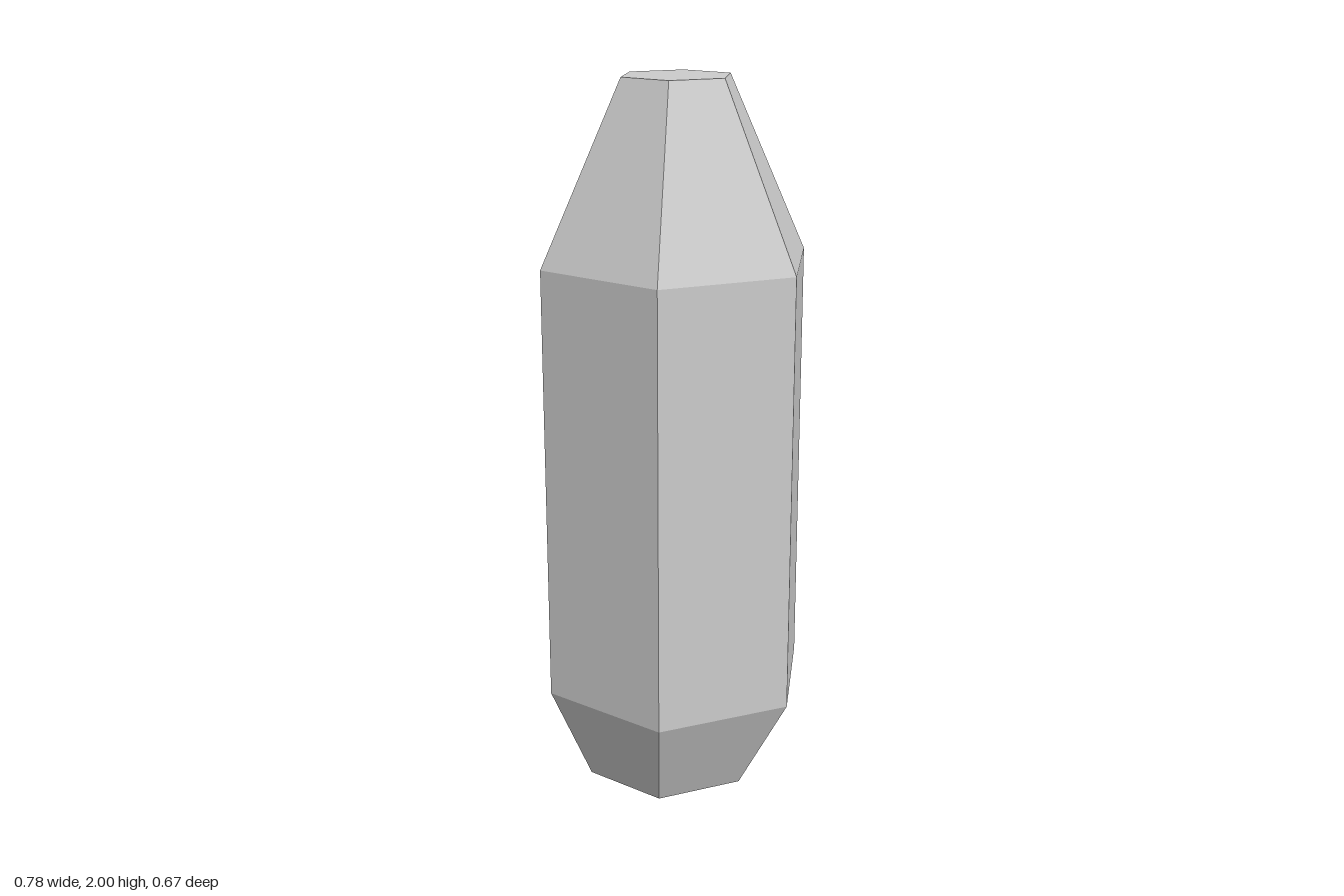
import * as THREE from 'three';

// Hexagonal rings from base to tip: height, corner radius, sideways shift
const RINGS = [
  { y: 0, r: 0.25, x: -0.02 },
  { y: 0.28, r: 0.389, x: 0 },
  { y: 1.51, r: 0.389, x: 0 },
  { y: 2, r: 0.157, x: 0 },
];

export function createModel() {
  const group = new THREE.Group();
  group.name = 'crystal';

  // Unit six-sided prism with corners on the x axis, one level per ring
  const levels = RINGS.length - 1;
  const geometry = new THREE.CylinderGeometry(1, 1, levels, 6, levels, false, Math.PI / 2);
  geometry.translate(0, levels / 2, 0);

  // Move each level to its ring: slanted base, straight shaft, tapered tip
  const pos = geometry.attributes.position;
  for (let i = 0; i < pos.count; i++) {
    const ring = RINGS[Math.round(pos.getY(i))];
    pos.setXYZ(i, pos.getX(i) * ring.r + ring.x, ring.y, pos.getZ(i) * ring.r);
  }

  // Separate corners per face for crisp facets
  const faceted = geometry.toNonIndexed();
  faceted.computeVertexNormals();

  const material = new THREE.MeshStandardMaterial({ color: 0xcccccc, flatShading: true });
  const crystal = new THREE.Mesh(faceted, material);
  crystal.name = 'crystalBody';
  group.add(crystal);
  return group;
}
